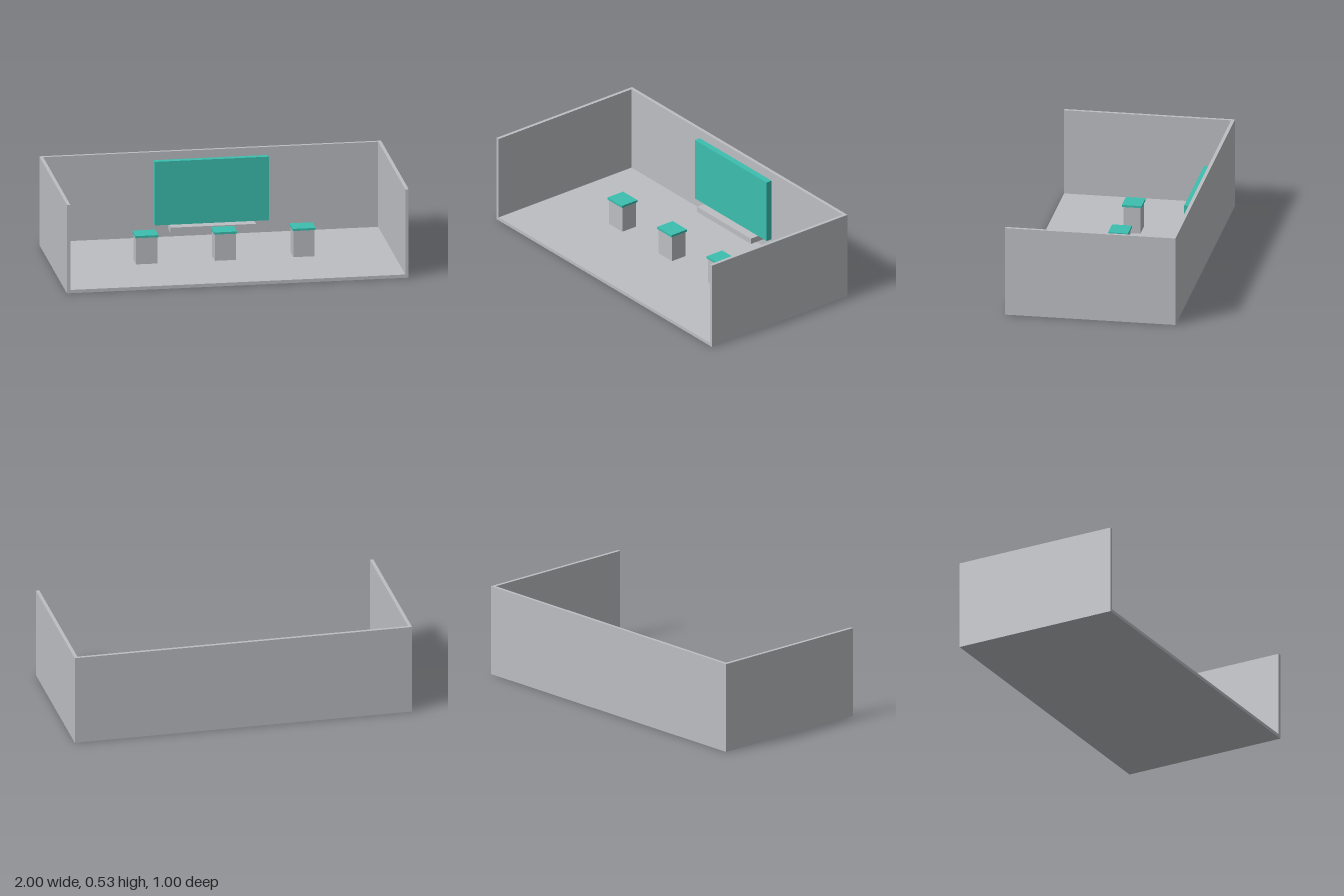
import * as THREE from 'three';

export function createModel() {
  const root = new THREE.Group();
  root.name = 'exhibitionBooth';
  const grey = new THREE.MeshStandardMaterial({ color: 0xbcbec2 });
  grey.name = 'grey';
  const teal = new THREE.MeshStandardMaterial({ color: 0x3cbfb0 });
  teal.name = 'teal';

  // Box from its minimum and maximum corners
  function box(name, material, [x0, y0, z0], [x1, y1, z1], parent = root) {
    const mesh = new THREE.Mesh(new THREE.BoxGeometry(x1 - x0, y1 - y0, z1 - z0), material);
    mesh.position.set((x0 + x1) / 2, (y0 + y1) / 2, (z0 + z1) / 2);
    mesh.name = name;
    parent.add(mesh);
    return mesh;
  }

  const H = 0.533, T = 0.02;

  // Open-fronted room
  box('floor', grey, [-1, 0, -0.5], [1, T, 0.5]);
  box('backWall', grey, [-1 + T, T, -0.5], [1 - T, H, -0.5 + T]);
  box('leftWall', grey, [1 - T, T, -0.5], [1, H, 0.5]);
  box('rightWall', grey, [-1, T, -0.5], [-1 + T, H, 0.5]);

  // Wall screen with a shelf below
  box('screen', teal, [-0.333, 0.104, -0.47], [0.333, 0.487, -0.434]);
  box('shelf', grey, [-0.25, 0.067, -0.48], [0.25, 0.101, -0.384]);

  // Row of display pedestals with coloured caps
  for (const x of [-0.46, 0, 0.46]) {
    const pedestal = new THREE.Group();
    pedestal.name = 'pedestal';
    pedestal.position.x = x;
    root.add(pedestal);
    box('pedestalBody', grey, [-0.062, T, -0.05], [0.062, 0.18, 0.05], pedestal);
    box('pedestalCap', teal, [-0.067, 0.18, -0.058], [0.067, 0.193, 0.058], pedestal);
  }
  return root;
}
